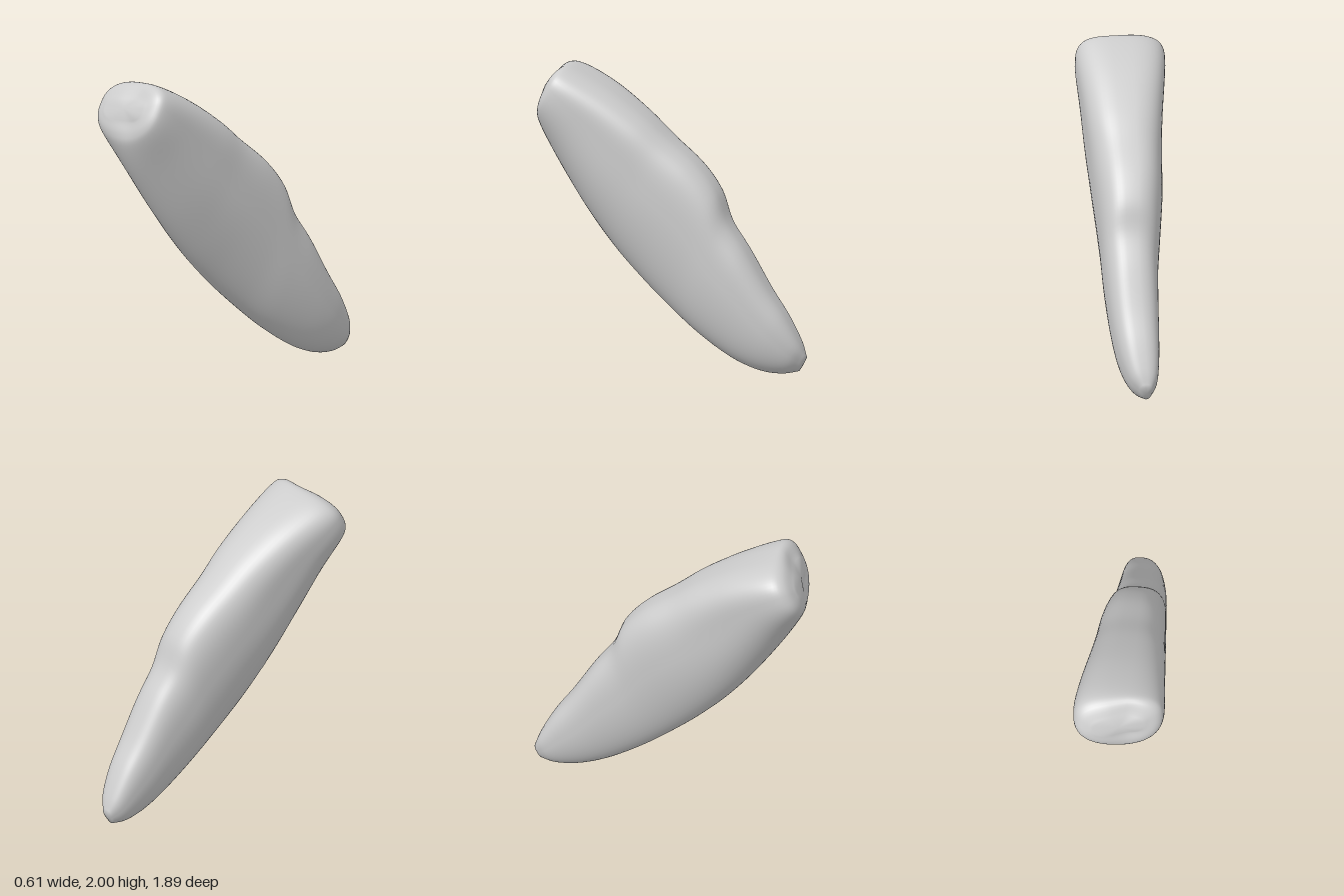
import * as THREE from 'three';

// Cross-sections from the broad upper end to the narrow foot:
// front edge z, y | back edge z, y | right x, left x
const SECTIONS = [
  [0.92, 1.76, 0.86, 1.90, -0.17, 0.17],
  [0.935, 1.67, 0.77, 1.985, -0.27, 0.265],
  [0.91, 1.57, 0.66, 1.975, -0.31, 0.30],
  [0.80, 1.36, 0.42, 1.86, -0.29, 0.305],
  [0.60, 1.05, 0.18, 1.70, -0.25, 0.30],
  [0.40, 0.79, 0.00, 1.55, -0.215, 0.28],
  [0.20, 0.58, -0.20, 1.39, -0.185, 0.265],
  [0.00, 0.40, -0.34, 1.22, -0.15, 0.255],
  [-0.20, 0.24, -0.42, 1.02, -0.12, 0.25],
  [-0.40, 0.11, -0.55, 0.83, -0.10, 0.24],
  [-0.55, 0.04, -0.70, 0.58, -0.085, 0.22],
  [-0.68, 0.005, -0.82, 0.40, -0.07, 0.19],
  [-0.80, 0.00, -0.91, 0.23, -0.045, 0.14],
  [-0.90, 0.02, -0.95, 0.12, 0.00, 0.07],
];
const RINGS = 70;
const SIDES = 56;

const curve = (a, b) =>
  new THREE.CatmullRomCurve3(SECTIONS.map((s) => new THREE.Vector3(s[a], s[b], 0)), false, 'catmullrom');
const power = (v, n) => Math.sign(v) * Math.pow(Math.abs(v), 2 / n);
const bump = (v, centre, width) => Math.exp(-(((v - centre) / width) ** 2));

function stoneGeometry() {
  const front = curve(0, 1), back = curve(2, 3), width = curve(4, 5);
  const pos = [], index = [];

  for (let i = 0; i <= RINGS; i++) {
    const t = i / RINGS;
    const f = front.getPoint(t), b = back.getPoint(t), w = width.getPoint(t);
    const mid = (w.x + w.y) / 2, half = (w.y - w.x) / 2;
    const end = 1 - THREE.MathUtils.smoothstep(t, 0, 0.25);
    for (let j = 0; j < SIDES; j++) {
      const a = (j / SIDES) * Math.PI * 2;
      const c = Math.cos(a);
      // boxy along the back, wedge-like towards the front edge
      const n = c > 0 ? 2.8 : 1.9 + 0.7 * end;
      const u = power(c, n);
      const v = 0.57 + (u > 0 ? 0.43 : 0.57) * u;
      // shallow hollow on each flank
      const hollow = 0.07 * bump(t, 0.3, 0.1) * bump(v, 0.6, 0.25);
      const x = mid + half * (1 - hollow) * power(Math.sin(a), n);
      // skewed, slightly dented upper end
      const dent = 0.025 * end * bump(x, 0.06, 0.1) * bump(t, 0, 0.12);
      pos.push(
        x,
        THREE.MathUtils.lerp(f.y, b.y, v) + 0.08 * x * end * v,
        THREE.MathUtils.lerp(f.x, b.x, v) - 0.13 * x * end - dent,
      );
    }
  }

  for (let i = 0; i < RINGS; i++) {
    for (let j = 0; j < SIDES; j++) {
      const k = (j + 1) % SIDES;
      const p = i * SIDES, q = p + SIDES;
      index.push(p + j, p + k, q + j, p + k, q + k, q + j);
    }
  }

  // close both ends with a slightly domed cap
  const cap = (ring, push, flip) => {
    const centre = [0, 0, 0];
    for (let j = 0; j < SIDES; j++)
      for (let d = 0; d < 3; d++) centre[d] += pos[(ring * SIDES + j) * 3 + d] / SIDES;
    const id = pos.length / 3;
    pos.push(centre[0], centre[1] + push * 0.7, centre[2] + push * 0.7);
    for (let j = 0; j < SIDES; j++) {
      const p = ring * SIDES + j, q = ring * SIDES + ((j + 1) % SIDES);
      if (flip) index.push(id, q, p);
      else index.push(p, q, id);
    }
  };
  cap(0, 0.012, true);
  cap(RINGS, -0.006, false);

  const geometry = new THREE.BufferGeometry();
  geometry.setAttribute('position', new THREE.Float32BufferAttribute(pos, 3));
  geometry.setIndex(index);
  geometry.computeVertexNormals();
  return geometry;
}

export function createModel() {
  const group = new THREE.Group();
  group.name = 'leaningStone';
  const lightGrey = new THREE.MeshStandardMaterial({ color: 0xcccccc });
  lightGrey.name = 'lightGrey';
  const body = new THREE.Mesh(stoneGeometry(), lightGrey);
  body.name = 'stoneBody';
  group.add(body);
  return group;
}
